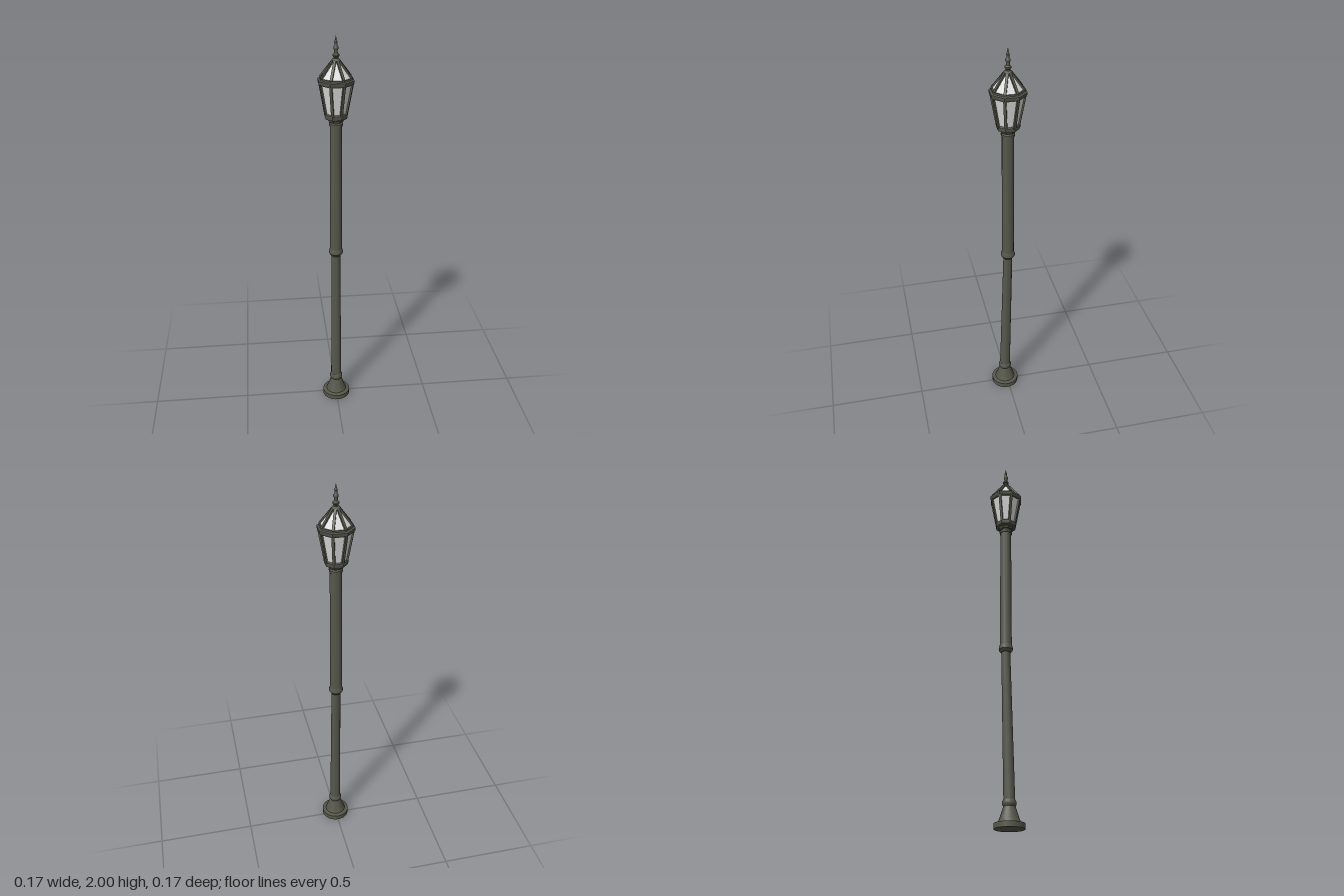
import * as THREE from 'three';
import { toCreasedNormals } from 'three/addons/utils/BufferGeometryUtils.js';

const TOP_Z = -0.004;   // axis of the upper post and lantern
const BASE_Z = 0.013;   // axis of the foot

export function createModel() {
  const metal = new THREE.MeshStandardMaterial({ color: 0x56574b });
  metal.name = 'weathered metal';
  const glass = new THREE.MeshStandardMaterial({ color: 0xdcdddc });
  glass.name = 'pale glass';

  const model = new THREE.Group();
  model.name = 'streetLamp';

  // Turned part from [radius, height] pairs, bottom to top; bend shifts z by height
  function turned(name, profile, sides, material, parent, bend) {
    const points = profile.map(([r, y]) => new THREE.Vector2(r, y));
    const geo = new THREE.LatheGeometry(points, sides, Math.PI / sides);
    if (bend) {
      const p = geo.attributes.position;
      for (let i = 0; i < p.count; i++) p.setZ(i, p.getZ(i) + bend(p.getY(i)));
    }
    const mesh = new THREE.Mesh(toCreasedNormals(geo, 0.6), material);
    mesh.name = name;
    parent.add(mesh);
    return mesh;
  }

  // The lower post leans slightly between the foot and the middle ring
  const lean = (y) => THREE.MathUtils.lerp(BASE_Z, TOP_Z,
    THREE.MathUtils.clamp((y - 0.1) / 0.77, 0, 1));

  turned('foot', [
    [0, 0], [0.073, 0], [0.073, 0.026], [0.054, 0.03], [0.046, 0.05],
    [0.036, 0.08], [0.028, 0.105], [0, 0.105],
  ], 20, metal, model, lean);
  turned('footCollar', [
    [0, 0.1], [0.029, 0.103], [0.034, 0.113], [0.034, 0.122], [0.028, 0.134], [0, 0.134],
  ], 20, metal, model, lean);
  turned('lowerPost', [[0.028, 0.12], [0.023, 0.88]], 16, metal, model, lean);
  turned('middleRing', [
    [0, 0.872], [0.025, 0.872], [0.036, 0.887], [0.036, 0.898], [0.03, 0.915], [0, 0.915],
  ], 16, metal, model, lean);
  turned('upperPost', [[0.031, 0.905], [0.029, 1.575]], 16, metal, model, lean);
  turned('postCap', [
    [0, 1.572], [0.033, 1.572], [0.034, 1.585], [0.028, 1.59], [0.028, 1.6], [0, 1.6],
  ], 16, metal, model, lean);

  // Eight-sided lantern
  const lantern = new THREE.Group();
  lantern.name = 'lantern';
  lantern.position.z = TOP_Z;
  model.add(lantern);

  turned('lanternFloor', [
    [0, 1.594], [0.036, 1.594], [0.042, 1.606], [0.054, 1.61], [0.058, 1.622],
    [0.058, 1.632], [0.052, 1.637], [0, 1.637],
  ], 8, metal, lantern);
  turned('sideGlass', [[0.05, 1.63], [0.08, 1.79]], 8, glass, lantern);
  turned('lanternRim', [
    [0.074, 1.775], [0.083, 1.775], [0.09, 1.785], [0.09, 1.796], [0.081, 1.8],
    [0.079, 1.806], [0.07, 1.806], [0.07, 1.775], [0.074, 1.775],
  ], 8, metal, lantern);
  turned('roofGlass', [[0.073, 1.803], [0.018, 1.876]], 8, glass, lantern);

  // Straight bar in the radial plane of a corner, between two [radius, height] points
  function bar(name, [r0, y0], [r1, y1], depth, width, parent) {
    const geo = new THREE.BoxGeometry(depth, Math.hypot(r1 - r0, y1 - y0), width);
    const mesh = new THREE.Mesh(geo, metal);
    mesh.name = name;
    mesh.position.set((r0 + r1) / 2, (y0 + y1) / 2, 0);
    mesh.rotation.z = -Math.atan2(r1 - r0, y1 - y0);
    parent.add(mesh);
  }
  for (let i = 0; i < 8; i++) {
    const corner = new THREE.Group();
    corner.name = 'cornerBars';
    corner.rotation.y = (i + 0.5) * Math.PI / 4;
    bar('sideBar', [0.052, 1.625], [0.082, 1.785], 0.008, 0.013, corner);
    bar('roofRib', [0.077, 1.806], [0.017, 1.884], 0.008, 0.012, corner);
    lantern.add(corner);
  }

  // Finial
  turned('finialBase', [
    [0, 1.872], [0.019, 1.872], [0.022, 1.88], [0.02, 1.888], [0.013, 1.894], [0, 1.897],
  ], 8, metal, lantern);
  turned('finial', [
    [0.011, 1.89], [0.011, 1.9], [0.016, 1.906], [0.016, 1.912], [0.009, 1.919],
    [0.008, 1.93], [0.012, 1.938], [0.012, 1.945], [0.007, 1.953], [0.006, 1.964],
    [0.008, 1.968], [0.004, 1.978], [0, 2],
  ], 12, metal, lantern);

  return model;
}
